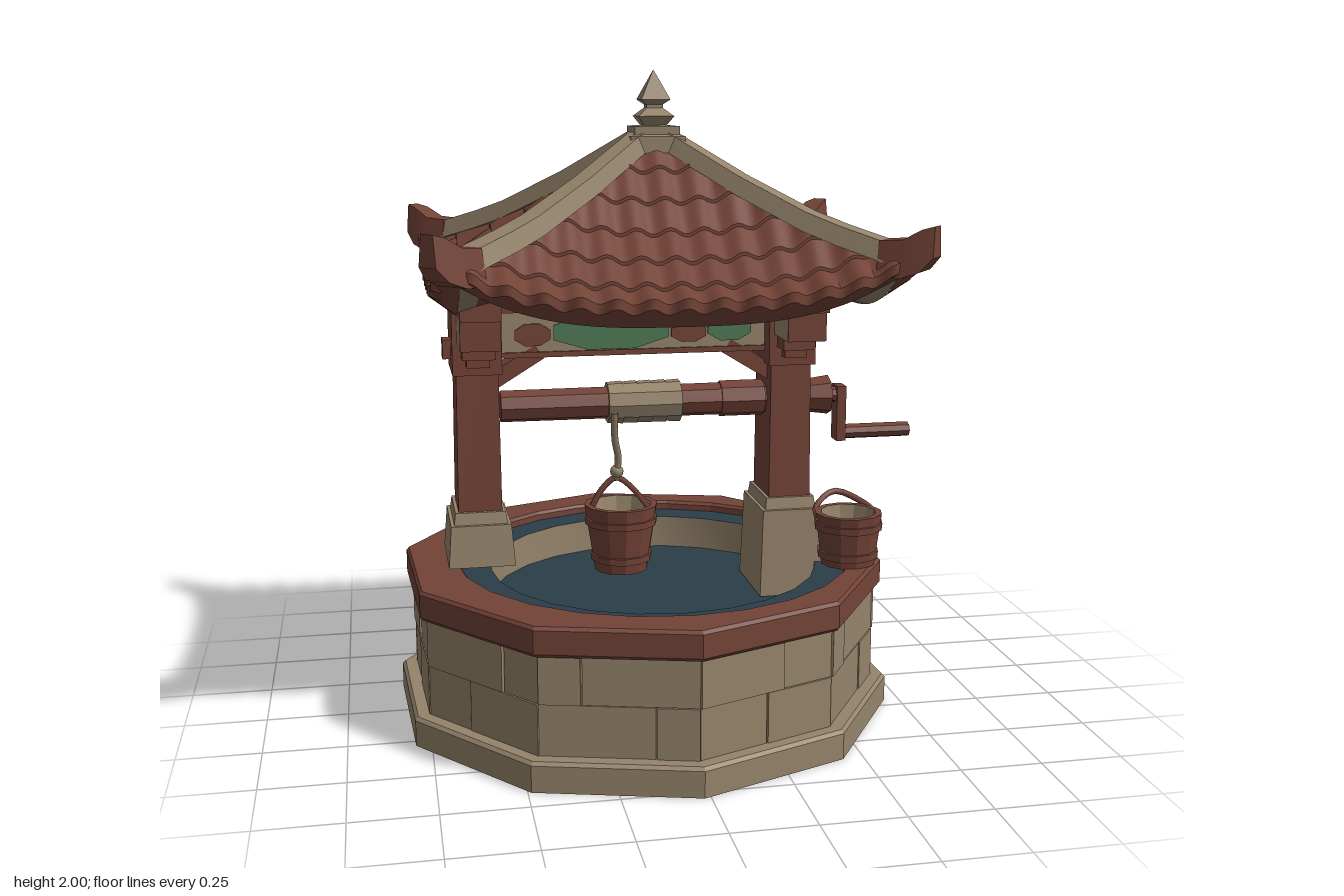
import * as THREE from 'three';
import { mergeGeometries, toCreasedNormals } from 'three/addons/utils/BufferGeometryUtils.js';

const V = (x, y, z) => new THREE.Vector3(x, y, z);

export function createModel() {
  const well = new THREE.Group();
  const mat = (name, color) => {
    const m = new THREE.MeshStandardMaterial({ color });
    m.name = name;
    return m;
  };
  const red = mat('red timber and tile', 0x734337);
  const stone = mat('tan stone', 0x95846b);
  const blue = mat('dark blue water', 0x2a3e49);
  const green = mat('green paint', 0x4f7a53);

  const add = (name, geo, material, x = 0, y = 0, z = 0, parent = well) => {
    const m = new THREE.Mesh(geo, material);
    m.name = name;
    m.position.set(x, y, z);
    parent.add(m);
    return m;
  };
  // box given by its limits on each axis
  const box = (x0, x1, y0, y1, z0, z1) =>
    new THREE.BoxGeometry(x1 - x0, y1 - y0, z1 - z0).translate((x0 + x1) / 2, (y0 + y1) / 2, (z0 + z1) / 2);
  const lathe = (pts, n, start = 0, crease = 0.5) => toCreasedNormals(
    new THREE.LatheGeometry(pts.map(p => new THREE.Vector2(...p)), n, start), crease);
  const rod = (x0, x1, r0, r1, n = 8) => toCreasedNormals(
    new THREE.CylinderGeometry(r0, r1, x1 - x0, n).rotateZ(Math.PI / 2).translate((x0 + x1) / 2, 0, 0), 0.5);
  const meshFrom = (pos, idx, crease) => {
    const g = new THREE.BufferGeometry();
    g.setAttribute('position', new THREE.Float32BufferAttribute(pos, 3));
    g.setIndex(idx);
    return toCreasedNormals(g, crease);
  };

  // ---------- Basin ----------
  const cx = -0.06, holeX = -0.02, turn = Math.PI / 60, step = Math.PI / 5;
  add('basinWall', lathe([[0, 0], [0.79, 0], [0.79, 0.08], [0.78, 0.09], [0.735, 0.09], [0.735, 0.42], [0.66, 0.42]], 10, turn, 0.3), stone, cx);

  // two courses of blocks with slightly varied faces
  const blocks = [];
  for (let k = 0; k < 10; k++) for (let c = 0; c < 2; c++) {
    const split = 0.11 * Math.sin(k * 2.3 + c * 2.6), a = turn + (k + 0.5) * step;
    [[-0.228, split - 0.002], [split + 0.002, 0.228]].forEach(([u0, u1], i) => {
      const out = 0.704 + 0.003 * ((k * 3 + c * 2 + i) % 3);
      blocks.push(box(u0, u1, 0.09 + c * 0.155, 0.243 + c * 0.155, 0.66, out).rotateY(a));
    });
  }
  add('wallBlocks', mergeGeometries(blocks), stone, cx);

  // ten-sided coping with a round, slightly offset opening
  const ring = new THREE.Shape();
  for (let k = 0; k < 10; k++) {
    const a = turn + k * step;
    ring[k ? 'lineTo' : 'moveTo'](0.765 * Math.sin(a), -0.765 * Math.cos(a));
  }
  ring.closePath();
  ring.holes.push(new THREE.Path().absarc(holeX - cx, 0, 0.62, 0, Math.PI * 2, true));
  add('rim', new THREE.ExtrudeGeometry(ring, {
    depth: 0.07, bevelEnabled: true, bevelSize: 0.008, bevelThickness: 0.01, bevelOffset: -0.008, bevelSegments: 1, curveSegments: 12,
  }).rotateX(-Math.PI / 2), red, cx, 0.4);
  add('ledge', lathe([[0.63, 0.45], [0.52, 0.45]], 24), blue, holeX);
  add('innerWall', lathe([[0.52, 0.45], [0.52, 0.34]], 24), stone, holeX);
  add('water', lathe([[0.52, 0.342], [0, 0.342]], 24), blue, holeX);

  // ---------- Posts ----------
  const pz = -0.022;
  const tapered = (w0, d0, w1, d1, h) => {
    const g = new THREE.BoxGeometry(1, h, 1).translate(0, h / 2, 0).toNonIndexed(), p = g.attributes.position;
    for (let i = 0; i < p.count; i++) {
      const top = p.getY(i) > h / 2;
      p.setX(i, p.getX(i) * (top ? w1 : w0));
      p.setZ(i, p.getZ(i) * (top ? d1 : d0));
    }
    g.computeVertexNormals();
    return g;
  };
  [[-0.575, 0.495, -1], [0.41, 0.345, 1]].forEach(([x, y0, s]) => {
    const post = new THREE.Group();
    post.name = s < 0 ? 'rightPost' : 'leftPost';
    post.position.set(x, 0, pz);
    well.add(post);
    add('footing', tapered(0.205, 0.28, 0.185, 0.26, 0.625 - y0), stone, 0, y0, 0, post);
    add('footingCap', tapered(0.165, 0.235, 0.155, 0.22, 0.04), stone, 0, 0.622, 0, post);
    add('shaft', tapered(0.135, 0.195, 0.125, 0.185, 0.66), red, 0, 0.65, 0, post);
    add('head', box(-0.075, 0.075, 1.09, 1.28, -0.11, 0.11), red, 0, 0, 0, post);
    add('headPeg', box(-0.035, 0.035, 1.12, 1.19, -0.15, 0.15), red, 0, 0, 0, post);
    add('sidePeg', box(-0.1, 0.1, 1.13, 1.19, -0.03, 0.03), red, 0, 0, 0, post);
    add('lowerArm', box(-0.05, 0.05, 1.15, 1.21, -0.2, 0.19), red, 0, 0, 0, post);
    add('upperArmBack', box(-0.06, 0.06, 1.2, 1.28, -0.29, 0), red, 0, 0, 0, post);
    add('upperArmFront', box(-0.06, 0.06, 1.19, 1.28, 0, 0.265), stone, 0, 0, 0, post);
    add('upperArmEnd', box(-0.06, 0.06, 1.19, 1.28, 0.264, 0.272), red, 0, 0, 0, post);
    add('crossPlate', box(-0.06, 0.06, 1.28, 1.34, -0.3, 0.3), red, 0, 0, 0, post);
    // diagonal brace towards the middle
    add('brace', box(-0.09, 0.09, -0.025, 0.025, -0.045, 0.045), red, -s * 0.12, 1.1, 0, post).rotation.z = -s * 0.55;
  });

  // ---------- Painted beam ----------
  add('beam', box(-0.52, 0.36, 1.145, 1.275, -0.045, 0.045), stone, 0, 0, pz);
  add('beamRail', box(-0.52, 0.36, 1.13, 1.147, -0.052, 0.052), red, 0, 0, pz);
  add('topPlate', box(-0.6, 0.44, 1.275, 1.36, -0.09, 0.09), red, 0, 0, pz);
  const patch = (name, x, y, w, h, m) => [-1, 1].forEach(s => {
    add(name, new THREE.CylinderGeometry(0.5, 0.5, 0.008, 8).rotateY(Math.PI / 8).rotateX(Math.PI / 2).scale(w, h, 1), m, x, y, pz + s * 0.046);
  });
  patch('greenPanel', -0.155, 1.205, 0.39, 0.12, green);
  patch('smallGreenPanel', 0.22, 1.205, 0.15, 0.085, green);
  patch('redPanel', -0.4, 1.2, 0.12, 0.075, red);
  patch('smallRedPanel', 0.09, 1.195, 0.12, 0.065, red);

  // ---------- Windlass ----------
  add('axle', rod(-0.5, 0.5, 0.05, 0.053), red, 0, 0.97, pz);
  add('axleCollar', rod(0.2, 0.34, 0.058, 0.058), red, 0, 0.97, pz);
  add('axleEnd', rod(0.46, 0.56, 0.05, 0.064), red, 0, 0.97, pz);
  add('axleStub', rod(0.55, 0.6, 0.025, 0.025), red, 0, 0.97, pz);
  add('crankArm', box(0.585, 0.615, 0.82, 1.0, -0.03, 0.03), red, 0, 0, pz);
  add('crankHandle', rod(0.61, 0.835, 0.024, 0.024, 8).scale(1, 1, 1.25), red, 0, 0.845, pz);
  for (let i = 0; i < 5; i++)
    add('ropeCoil', rod(-0.024, 0.024, 0.065, 0.068, 10), stone, -0.14 + i * 0.046, 0.97, pz);
  const tube = (pts, r, n = 12) => new THREE.TubeGeometry(new THREE.CatmullRomCurve3(pts), n, r, 6);
  add('rope', tube([V(-0.15, 0.95, 0.045), V(-0.145, 0.86, 0.02), V(-0.13, 0.79, -0.01), V(-0.135, 0.72, pz)], 0.011), stone);
  add('ropeKnot', new THREE.SphereGeometry(0.022, 8, 6), stone, -0.133, 0.745, pz);

  // ---------- Buckets ----------
  const bucket = (name, x, y, z, rt, rb, h, handle) => {
    const b = new THREE.Group();
    b.name = name;
    b.position.set(x, y, z);
    well.add(b);
    add('staves', lathe([[0, 0], [rb, 0], [rt, h], [rt - 0.02, h]], 12), red, 0, 0, 0, b);
    add('inside', lathe([[rt - 0.02, h], [rb - 0.02, 0.04], [0, 0.04]], 12), stone, 0, 0, 0, b);
    [0.2, 0.75].forEach(f => {
      const r = rb + (rt - rb) * f;
      add('hoop', lathe([[r - 0.004, h * f - 0.012], [r + 0.006, h * f - 0.01], [r + 0.008, h * f + 0.012], [r - 0.002, h * f + 0.014]], 12), red, 0, 0, 0, b);
    });
    add('handle', tube(handle, 0.01, 16), red, 0, 0, 0, b);
  };
  bucket('hangingBucket', -0.12, 0.425, pz, 0.118, 0.085, 0.215,
    [V(-0.1, 0.195, 0), V(-0.06, 0.265, 0), V(-0.015, 0.3, 0), V(0.035, 0.265, 0), V(0.09, 0.195, 0)]);
  bucket('standingBucket', 0.562, 0.478, 0.22, 0.106, 0.085, 0.165,
    [V(-0.1, 0.14, 0.02), V(-0.08, 0.165, -0.08), V(0, 0.195, -0.14), V(0.08, 0.165, -0.08), V(0.1, 0.14, 0.02)]);

  // ---------- Roof ----------
  const roof = new THREE.Group();
  roof.name = 'roof';
  roof.position.set(-0.015, 0, -0.04);
  well.add(roof);
  const hx = 0.69, hz = 0.56, lip = 0.91;
  const curve = ys => t => {
    const ts = [0.08, 0.35, 0.6, 0.85, 1];
    let i = 0;
    while (i < 3 && t > ts[i + 1]) i++;
    return ys[i] + (ys[i + 1] - ys[i]) * (t - ts[i]) / (ts[i + 1] - ts[i]);
  };
  const hip = curve([1.785, 1.66, 1.56, 1.485, 1.475]);
  const mid = curve([1.785, 1.63, 1.49, 1.385, 1.35]);
  const surface = (s, t) => mid(t) + (hip(t) - mid(t)) * Math.abs(s) ** 3;
  // grid over one roof side: fn(u, row, half width) gives [across, out, height]
  const side = (k, nu, nv, fn, flip) => {
    const pos = [], idx = [];
    for (let j = 0; j <= nv; j++) for (let i = 0; i <= nu; i++) {
      const [across, out, y] = fn(i / nu * 2 - 1, j, k % 2 ? hz : hx);
      const [x, z] = [[across, out], [out, -across], [-across, -out], [-out, across]][k];
      pos.push(x * hx, y, z * hz);
    }
    for (let j = 0; j < nv; j++) for (let i = 0; i < nu; i++) {
      const a = j * (nu + 1) + i, b = a + 1, c = a + nu + 1, d = c + 1;
      idx.push(...(flip ? [a, b, c, b, d, c] : [a, c, b, b, c, d]));
    }
    return meshFrom(pos, idx, 0.7);
  };
  // stepped tile rows with straight ripples, clipped at the hips; the eave face slants inwards
  const rows = 6;
  const tile = (u, j, w) => {
    const end = j % 2, last = j >= rows * 2 - 1;
    if (j > rows * 2) return [u * lip, lip, surface(u, 1) - 0.07];
    const t = Math.max(Math.abs(u), 0.08 + 0.92 * Math.min(1, (Math.floor(j / 2) + end) / rows));
    const wave = Math.cos(u * w / 0.1 * Math.PI * 2);
    const y = surface(u / t, t) + 0.01 * wave + (end || last ? 0.01 : 0);
    return [u, last ? t + 0.022 * wave : t, j === rows * 2 ? y - 0.03 : y];
  };
  // soffit rising from the eave lip to a flat middle
  const soffit = ts => (s, j) => {
    const t = ts[j], f = (t / lip) ** 3;
    return [s * t, t, 1.35 * (1 - f) + (surface(s, 1) - 0.07) * f];
  };
  for (let k = 0; k < 4; k++) {
    add('tiles', side(k, 96, rows * 2 + 1, tile, false), red, 0, 0, 0, roof);
    add('soffit', side(k, 20, 4, soffit([0, 0.4, 0.6, 0.72, 0.83]), true), red, 0, 0, 0, roof);
    add('soffitTrim', side(k, 20, 1, soffit([0.83, lip]), true), stone, 0, 0, 0, roof);
  }

  // four-cornered bar swept outwards; stations are [reach, bottom, top, halfWidth]
  const bar = (sx, sz, stations) => {
    const len = Math.hypot(hx, hz), nx = -sz * hz / len, nz = sx * hx / len, pos = [], idx = [];
    stations.forEach(([t, y0, y1, w]) => {
      [[w, y0], [w * 0.7, y1], [-w * 0.7, y1], [-w, y0]].forEach(([o, y]) =>
        pos.push(sx * t * hx + nx * o, y, sz * t * hz + nz * o));
    });
    const n = stations.length - 1, e = n * 4;
    for (let i = 0; i < n; i++) for (let j = 0; j < 4; j++) {
      const a = i * 4 + j, b = i * 4 + (j + 1) % 4, c = a + 4, d = b + 4;
      idx.push(a, c, b, b, c, d);
    }
    idx.push(0, 1, 2, 0, 2, 3, e, e + 2, e + 1, e, e + 3, e + 2);
    return meshFrom(pos, idx, 0.4);
  };
  for (const sx of [-1, 1]) for (const sz of [-1, 1]) {
    add('hipRidge', bar(sx, sz, [0.08, 0.2, 0.35, 0.47, 0.6, 0.72, 0.88].map(t =>
      [t, hip(t) - 0.03, hip(t) + 0.027, 0.042 + 0.014 * t])), stone, 0, 0, 0, roof);
    add('cornerHorn', bar(sx, sz, [[0.86, 1.41, 1.515, 0.062], [0.94, 1.41, 1.52, 0.06],
      [1.0, 1.43, 1.55, 0.05], [1.04, 1.47, 1.56, 0.035]]), red, 0, 0, 0, roof);
  }

  // ---------- Finial ----------
  const square = pts => lathe(pts.map(([r, y]) => [r * Math.SQRT2, y]), 4, Math.PI / 4, 0.2);
  add('finialBase', square([[0.085, 1.75], [0.085, 1.8], [0.07, 1.805], [0.07, 1.83], [0, 1.835]]), stone, 0.005, 0, 0, roof);
  add('finial', square([[0.03, 1.825], [0.055, 1.86], [0.025, 1.885], [0.025, 1.895], [0.045, 1.91], [0.02, 1.96], [0, 2]]), stone, 0.005, 0, 0, roof);

  return well;
}
